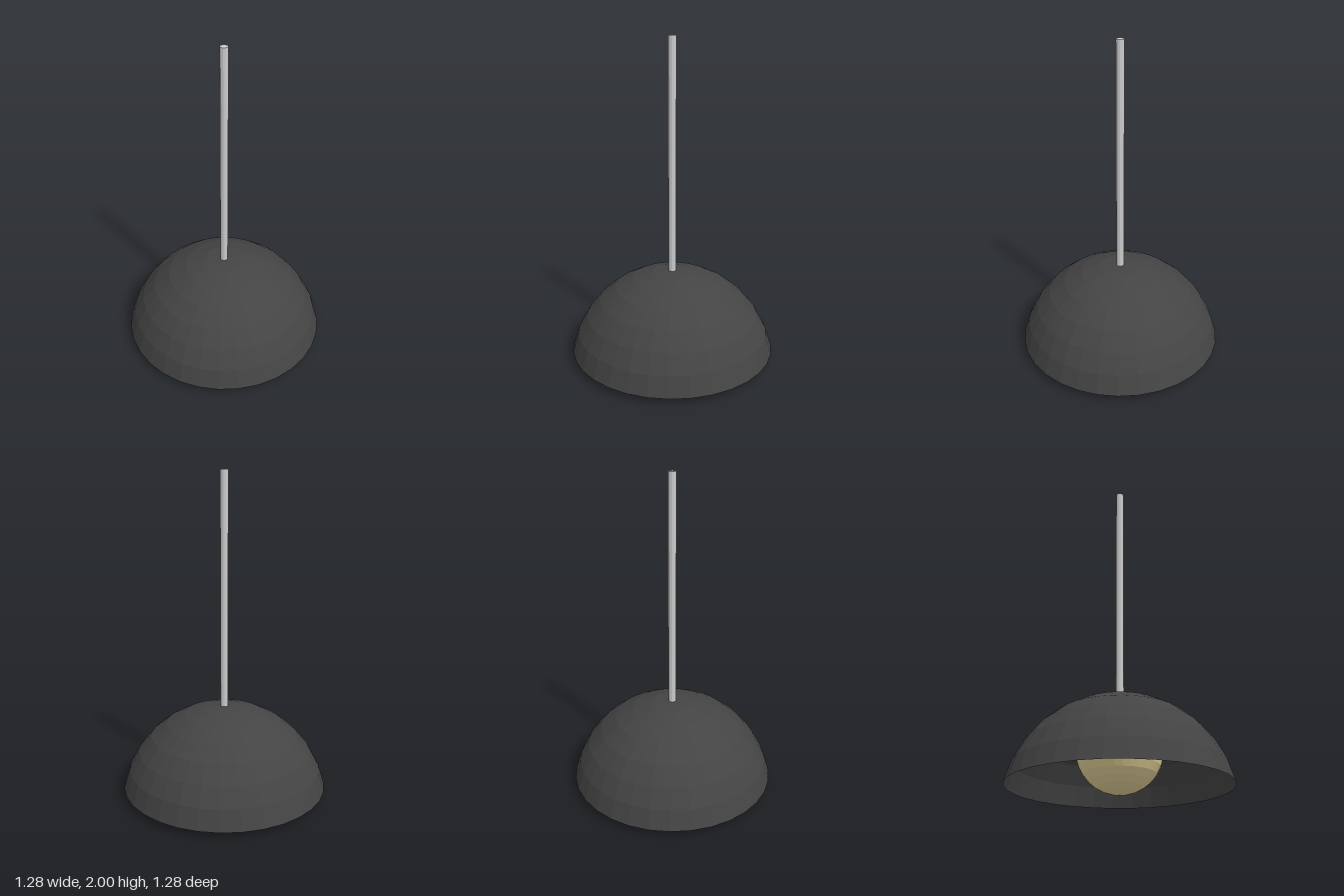
import * as THREE from 'three';

// Pendant lamp: faceted dome shade, round bulb and straight hanging rod
const DOME_RADIUS = 0.654;
const DOME_TOP = 0.56;
const RIM_HEIGHT = 0.04;
const BULB_RADIUS = 0.25;
const ROD_RADIUS = 0.024;

function addPart(group, name, geometry, color, y, side = THREE.FrontSide) {
  const material = new THREE.MeshStandardMaterial({ color, flatShading: true, side });
  const mesh = new THREE.Mesh(geometry, material);
  mesh.name = name;
  mesh.position.y = y;
  group.add(mesh);
}

export function createModel() {
  const lamp = new THREE.Group();
  lamp.name = 'pendantLamp';

  // Thin open dome, cut just above its equator
  const centreY = DOME_TOP - DOME_RADIUS;
  const openAngle = Math.acos((RIM_HEIGHT - centreY) / DOME_RADIUS);
  const dome = new THREE.SphereGeometry(DOME_RADIUS, 32, 7, 0, Math.PI * 2, 0, openAngle);
  addPart(lamp, 'shade', dome, 0x444444, centreY, THREE.DoubleSide);

  // Bulb peeking out below the rim
  addPart(lamp, 'bulb', new THREE.SphereGeometry(BULB_RADIUS, 32, 16), 0xe6d59a, BULB_RADIUS);

  // Rod from just inside the dome to the top
  const rodBottom = DOME_TOP - 0.02;
  const rodLength = 2 - rodBottom;
  addPart(lamp, 'rod', new THREE.CylinderGeometry(ROD_RADIUS, ROD_RADIUS, rodLength, 12),
    0xcccccc, rodBottom + rodLength / 2);

  return lamp;
}
